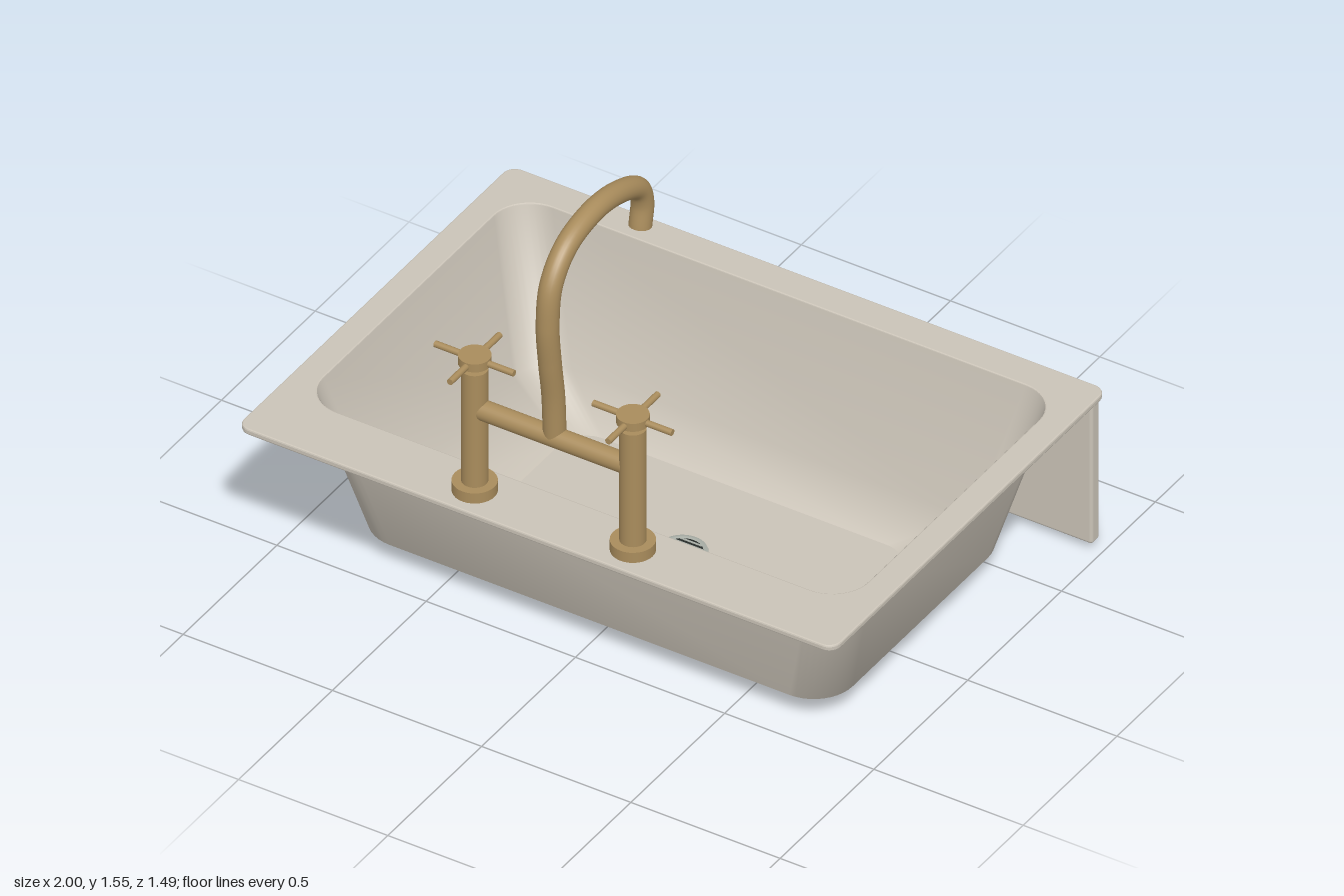
import * as THREE from 'three';
import { RoundedBoxGeometry } from 'three/addons/geometries/RoundedBoxGeometry.js';

const mat = (name, color, side = THREE.FrontSide) => {
  const m = new THREE.MeshStandardMaterial({ color, side });
  m.name = name;
  return m;
};

// Points [x, z] of a rounded rectangle, running from +x towards +z
function ring(hx, z0, z1, r, steps = 10) {
  const pts = [];
  const corners = [[hx - r, z1 - r], [r - hx, z1 - r], [r - hx, z0 + r], [hx - r, z0 + r]];
  corners.forEach(([cx, cz], c) => {
    for (let k = 0; k <= steps; k++) {
      const a = (c + k / steps) * Math.PI / 2;
      pts.push([cx + r * Math.cos(a), cz + r * Math.sin(a)]);
    }
  });
  return pts;
}

// Smooth wall through rounded rectangles [halfX, z0, z1, radius, y]
function loft(rows) {
  const pos = [], idx = [];
  const n = ring(1, -1, 1, 0.1).length;
  rows.forEach(([hx, z0, z1, r, y]) => ring(hx, z0, z1, r).forEach(([x, z]) => pos.push(x, y, z)));
  for (let i = 0; i < rows.length - 1; i++) {
    for (let j = 0; j < n; j++) {
      const a = i * n + j, b = i * n + (j + 1) % n;
      idx.push(a, b, a + n, b, b + n, a + n);
    }
  }
  const g = new THREE.BufferGeometry();
  g.setAttribute('position', new THREE.Float32BufferAttribute(pos, 3));
  g.setIndex(idx);
  g.computeVertexNormals();
  return g;
}

// Flat outline in x and z with an optional round hole; dir 1 faces up, -1 down
function outline(pts, dir) {
  return new THREE.Shape(pts.map(([x, z]) => new THREE.Vector2(x, -dir * z)));
}
function floorPlate([hx, z0, z1, r, y], dir, holeZ, holeR) {
  const s = outline(ring(hx, z0, z1, r), dir);
  s.holes.push(new THREE.Path().absarc(0, -dir * holeZ, holeR, 0, Math.PI * 2));
  return new THREE.ShapeGeometry(s, 24).rotateX(-dir * Math.PI / 2).translate(0, y, 0);
}

export function createModel() {
  const model = new THREE.Group();
  model.name = 'sinkWithFaucet';
  const enamel = mat('warm grey enamel', 0xcac3b7, THREE.DoubleSide);
  const brass = mat('aged brass', 0xa98c5c);
  const steel = mat('drain steel', 0xa9aea6);
  const dark = mat('drain shadow', 0x262a28);

  const add = (parent, name, geo, material, x = 0, y = 0, z = 0) => {
    const m = new THREE.Mesh(geo, material);
    m.name = name;
    m.position.set(x, y, z);
    parent.add(m);
    return m;
  };
  const cyl = (r, h, seg = 32) => new THREE.CylinderGeometry(r, r, h, seg);

  // Basin: outer and inner shells with flat floors
  const drainZ = -0.07;
  const basin = new THREE.Group();
  basin.name = 'basin';
  model.add(basin);
  const outer = [
    [0.922, -0.648, 0.52, 0.13, 0.545],
    [0.8, -0.555, 0.425, 0.13, 0.085],
    [0.6, -0.42, 0.3, 0.1, 0],
  ];
  const inner = [
    [0.565, -0.405, 0.272, 0.09, 0.015],
    [0.785, -0.54, 0.412, 0.12, 0.1],
    [0.912, -0.638, 0.51, 0.12, 0.557],
  ];
  add(basin, 'outerWall', loft(outer), enamel);
  add(basin, 'innerWall', loft(inner), enamel);
  add(basin, 'underside', floorPlate(outer[2], -1, drainZ, 0.052), enamel);
  add(basin, 'basinFloor', floorPlate(inner[0], 1, drainZ, 0.052), enamel);

  // Rim: thin slab with the basin opening cut out
  const b = 0.005;
  const rimShape = outline(ring(1 - b, -0.745 + b, 0.715 - b, 0.035), -1);
  rimShape.holes.push(new THREE.Path(ring(0.912 + b, -0.638 - b, 0.51 + b, 0.12 + b)
    .map(([x, z]) => new THREE.Vector2(x, z)).reverse()));
  const rim = new THREE.ExtrudeGeometry(rimShape, {
    depth: 0.01, bevelThickness: b, bevelSize: b, bevelSegments: 2,
  });
  rim.rotateX(Math.PI / 2);
  add(model, 'rim', rim, enamel, 0, 0.555, 0);

  // Apron panel hanging below the back edge
  add(model, 'apron', new RoundedBoxGeometry(1.95, 0.52, 0.042, 3, 0.01), enamel, 0, 0.285, -0.723);

  // Drain with a slotted grate
  const drain = new THREE.Group();
  drain.name = 'drain';
  drain.position.set(0, 0.015, drainZ);
  model.add(drain);
  const collar = [[0.06, 0], [0.06, 0.005], [0.073, 0.005], [0.075, 0]].map(p => new THREE.Vector2(...p));
  add(drain, 'drainCollar', new THREE.LatheGeometry(collar.reverse(), 40), steel);
  add(drain, 'drainWell', cyl(0.061, 0.002, 40), dark, 0, 0.0015, 0);
  add(drain, 'drainOutlet', cyl(0.052, 0.012, 32), dark, 0, -0.0065, 0);
  for (let i = -3; i <= 3; i++) {
    const z = i * 0.016;
    const w = 2 * Math.sqrt(0.06 ** 2 - z ** 2);
    add(drain, 'grateBar', new THREE.BoxGeometry(w, 0.002, 0.006), steel, 0, 0.0035, z);
  }

  // Bridge faucet
  const faucet = new THREE.Group();
  faucet.name = 'faucet';
  faucet.position.z = 0.615;
  model.add(faucet);
  for (const side of [-1, 1]) {
    const post = new THREE.Group();
    post.name = side > 0 ? 'leftPost' : 'rightPost';
    post.position.x = side * 0.265;
    faucet.add(post);
    add(post, 'postBase', cyl(0.066, 0.037), brass, 0, 0.577, 0);
    add(post, 'column', cyl(0.039, 0.43), brass, 0, 0.775, 0);
    add(post, 'handleStem', cyl(0.012, 0.03, 16), brass, 0, 1.0, 0);
    add(post, 'handleHub', cyl(0.048, 0.028), brass, 0, 1.024, 0);
    add(post, 'handleBarAcross', cyl(0.01, 0.265, 16), brass, 0, 1.024, 0).rotation.z = Math.PI / 2;
    add(post, 'handleBarForward', cyl(0.01, 0.265, 16), brass, 0, 1.024, 0).rotation.x = Math.PI / 2;
  }
  add(faucet, 'bridge', cyl(0.031, 0.5), brass, 0, 0.853, 0).rotation.z = Math.PI / 2;

  // Gooseneck spout: path points are [z, y]
  const path = new THREE.CatmullRomCurve3([
    [0.61, 0.85], [0.618, 1.0], [0.636, 1.13], [0.648, 1.27], [0.628, 1.4], [0.55, 1.485],
    [0.4, 1.52], [0.26, 1.497], [0.165, 1.447], [0.143, 1.39], [0.154, 1.31],
  ].map(([z, y]) => new THREE.Vector3(0, y, z - 0.615)));
  add(faucet, 'spout', new THREE.TubeGeometry(path, 80, 0.034, 24), brass);
  const tip = add(faucet, 'spoutOpening', new THREE.CircleGeometry(0.034, 24), brass);
  tip.position.copy(path.getPointAt(1));
  tip.lookAt(path.getPointAt(1).add(path.getTangentAt(1)));
  const bore = add(faucet, 'spoutBore', new THREE.CircleGeometry(0.024, 24), dark);
  bore.position.copy(path.getPointAt(1)).addScaledVector(path.getTangentAt(1), 0.001);
  bore.quaternion.copy(tip.quaternion);

  return model;
}
